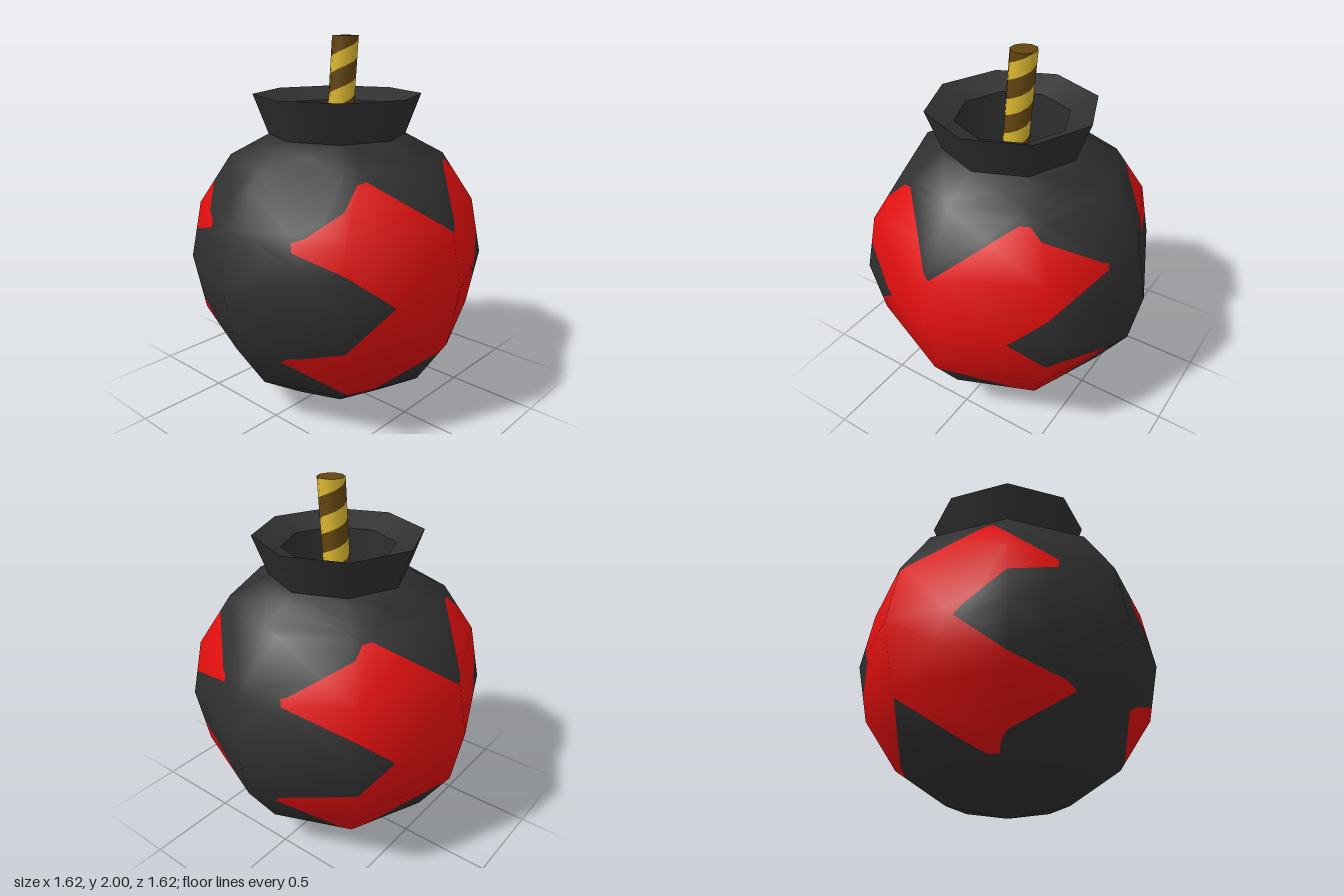
import * as THREE from 'three';

const mat = (name, color, side = THREE.FrontSide) => {
  const m = new THREE.MeshStandardMaterial({ color, side });
  m.name = name;
  return m;
};

// A vertex is [x, y, z, nx, ny, nz], so cuts interpolate the normals too
const mix = (a, b, t) => a.map((v, i) => v + (b[i] - v) * t);

// Split a convex polygon by the line p-q in the xy plane: [right side, left side]
function splitByLine(poly, p, q) {
  const dist = v => (v[0] - p[0]) * (q[1] - p[1]) - (v[1] - p[1]) * (q[0] - p[0]);
  const right = [], left = [];
  poly.forEach((a, i) => {
    const b = poly[(i + 1) % poly.length], da = dist(a), db = dist(b);
    (da >= 0 ? right : left).push(a);
    if ((da >= 0) !== (db >= 0)) {
      const c = mix(a, b, da / (da - db));
      right.push(c);
      left.push(c);
    }
  });
  return [right, left];
}

function polysToGeometry(polys) {
  const pos = [], nor = [];
  for (const p of polys) {
    for (let i = 1; i < p.length - 1; i++) {
      for (const v of [p[0], p[i], p[i + 1]]) {
        pos.push(v[0], v[1], v[2]);
        nor.push(v[3], v[4], v[5]);
      }
    }
  }
  const g = new THREE.BufferGeometry();
  g.setAttribute('position', new THREE.Float32BufferAttribute(pos, 3));
  g.setAttribute('normal', new THREE.Float32BufferAttribute(nor, 3));
  return g;
}

// Cross: four arms and a centre, as convex pieces listed clockwise
const inner = [[-0.325, 0.78], [0.012, 1.09], [0.38, 0.78], [0.02, 0.465]];
const tips = [
  [[-0.64, 1.05], [-0.635, 1.095], [-0.36, 1.345], [-0.31, 1.355]],
  [[0.33, 1.355], [0.38, 1.355], [0.675, 1.11], [0.68, 1.07]],
  [[0.69, 0.51], [0.68, 0.475], [0.4, 0.215], [0.35, 0.21]],
  [[-0.28, 0.2], [-0.33, 0.2], [-0.635, 0.455], [-0.635, 0.49]],
];
const crossPieces = [inner, ...tips.map((t, i) => [inner[i], ...t, inner[(i + 1) % 4]])];

// Cut the triangles of a geometry into those inside and outside the cross
function cutCross(geometry) {
  const g = geometry.toNonIndexed();
  const p = g.attributes.position, n = g.attributes.normal;
  const vert = i => [p.getX(i), p.getY(i), p.getZ(i), n.getX(i), n.getY(i), n.getZ(i)];
  const red = [], dark = [];
  for (let i = 0; i < p.count; i += 3) {
    let rest = [[vert(i), vert(i + 1), vert(i + 2)]];
    for (const piece of crossPieces) {
      const next = [];
      for (let poly of rest) {
        for (let k = 0; k < piece.length && poly.length > 2; k++) {
          const [right, left] = splitByLine(poly, piece[k], piece[(k + 1) % piece.length]);
          if (left.length > 2) next.push(left);
          poly = right;
        }
        if (poly.length > 2) red.push(poly);
      }
      rest = next;
    }
    dark.push(...rest);
  }
  return [polysToGeometry(dark), polysToGeometry(red)];
}

const lathe = pts => new THREE.LatheGeometry(pts.map(([r, y]) => new THREE.Vector2(r, y)), 8);

export function createModel() {
  const group = new THREE.Group();
  const darkMat = mat('charcoal', 0x303030);
  const redMat = mat('red', 0xe20f0f);
  const yellowMat = mat('ropeYellow', 0xdcb830);
  const brownMat = mat('ropeBrown', 0x64450f);
  const add = (name, geometry, material) => {
    if (!geometry.attributes.position.count) return;
    const m = new THREE.Mesh(geometry, material);
    m.name = name;
    group.add(m);
  };

  // Eight-sided round body, with the cross on its front and back
  const R = 0.81, profile = [];
  for (let k = 0; k <= 6; k++) {
    const a = k * Math.PI / 8;
    profile.push([R * Math.sin(a), R + 0.003 - R * Math.cos(a)]);
  }
  profile.push([0.367, 1.495]);
  const [bodyDark, bodyRed] = cutCross(lathe(profile));
  add('body', bodyDark, darkMat);
  add('cross', bodyRed, redMat);

  // Flared neck, sloping lip and the well inside it
  add('neck', lathe([[0.367, 1.495], [0.445, 1.705]]), darkMat);
  add('lip', lathe([[0.445, 1.705], [0.3, 1.64]]), darkMat);
  add('wellWall', lathe([[0.3, 1.64], [0.3, 1.315]]), darkMat);
  const [floorDark, floorRed] = cutCross(lathe([[0.3, 1.315], [0, 1.3]]));
  add('wellFloor', floorDark, darkMat);
  add('wellFloorMarks', floorRed, redMat);

  // Leaning fuse wound with two helical bands
  const y0 = 1.3, y1 = 2, r = 0.07, sides = 10, pitch = 0.19, band = 0.088;
  const point = (a, y) => {
    const s = Math.sin(a), c = Math.cos(a);
    return [r * s + 0.062 + 0.092 * (y - y1), y, r * c, s, 0, c];
  };
  const clampY = y => Math.min(y1, Math.max(y0, y));
  const bandGeometry = (start, height) => {
    const quads = [];
    for (let turn = -6; turn < 3; turn++) {
      for (let i = 0; i < sides; i++) {
        const a = i / sides, b = (i + 1) / sides;
        const low = t => start + (turn + t) * pitch;
        const ys = [low(a), low(b), low(b) + height, low(a) + height].map(clampY);
        if (ys[2] - ys[1] + ys[3] - ys[0] < 1e-4) continue;
        const A = a * Math.PI * 2, B = b * Math.PI * 2;
        quads.push([point(A, ys[0]), point(B, ys[1]), point(B, ys[2]), point(A, ys[3])]);
      }
    }
    return polysToGeometry(quads);
  };
  add('fuseYellowBand', bandGeometry(1.871, band), yellowMat);
  add('fuseBrownBand', bandGeometry(1.871 + band, pitch - band), brownMat);
  const cap = new THREE.CircleGeometry(r, sides);
  cap.rotateZ(Math.PI / 2).rotateX(-Math.PI / 2).rotateY(Math.PI).translate(0.062, y1, 0);
  add('fuseTip', cap, brownMat);

  return group;
}
